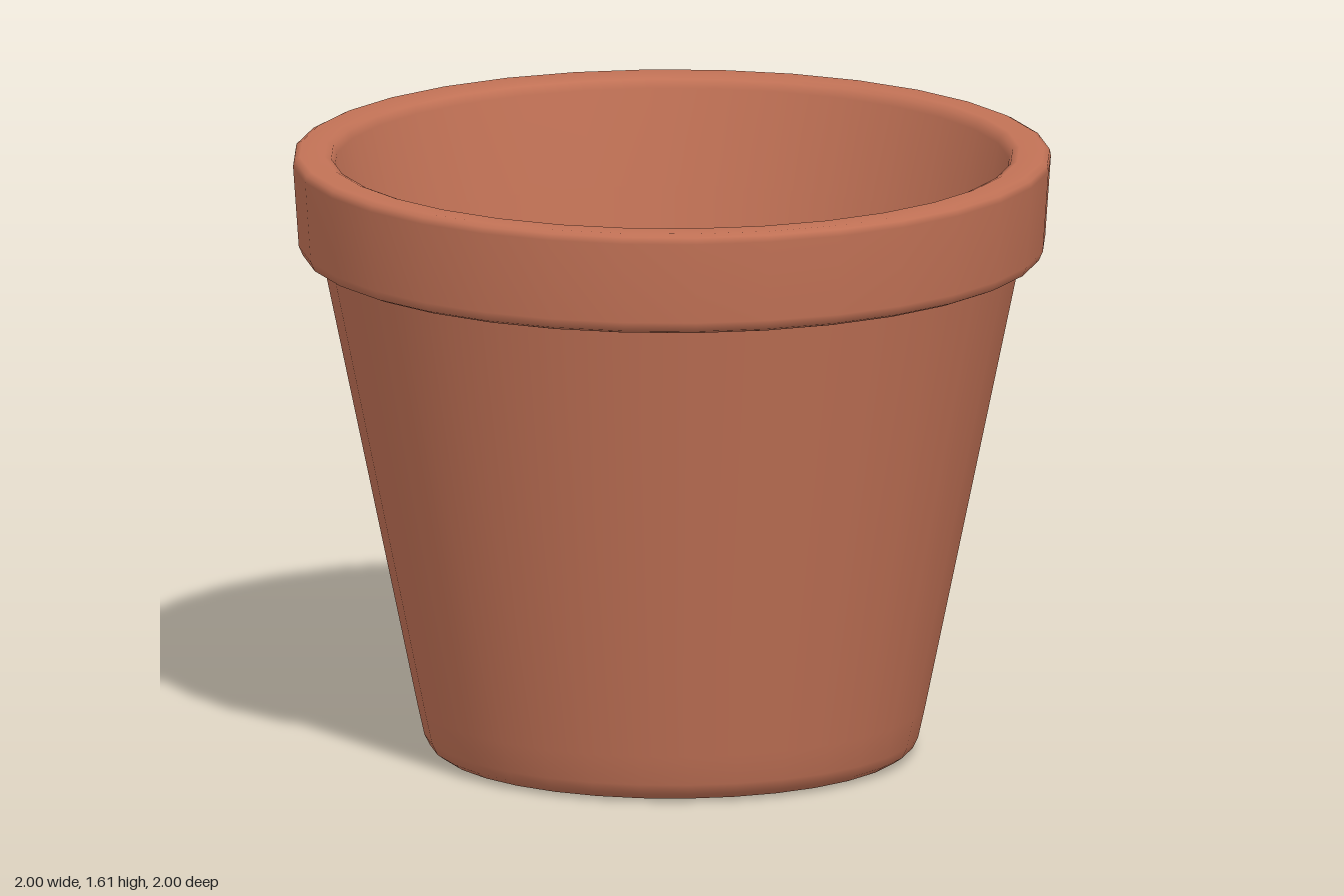
import * as THREE from 'three';

const SEGMENTS = 32;

// Revolve a list of [radius, height] pairs; going up makes the face point outward
function lathe(name, profile, material) {
  const points = profile.map(([r, y]) => new THREE.Vector2(r, y));
  const mesh = new THREE.Mesh(new THREE.LatheGeometry(points, SEGMENTS), material);
  mesh.name = name;
  return mesh;
}

export function createModel() {
  const pot = new THREE.Group();
  pot.name = 'flowerPot';

  const terracotta = new THREE.MeshStandardMaterial({ color: 0xc27256 });
  terracotta.name = 'terracotta';

  // Underside with a tiny centre hole, bevelled foot and tapered wall
  pot.add(lathe('outerWall', [
    [0.006, 0], [0.57, 0], [0.615, 0.006], [0.638, 0.022], [0.652, 0.05],
    [0.67, 0.13], [0.92, 1.335],
  ], terracotta));

  // Thick collar: rounded underside, slight flare and softened lip
  pot.add(lathe('rim', [
    [0.915, 1.335], [0.95, 1.336], [0.972, 1.345], [0.983, 1.37],
    [0.998, 1.585], [0.995, 1.602], [0.98, 1.61],
    [0.915, 1.61], [0.897, 1.603], [0.888, 1.58], [0.836, 1.33],
  ], terracotta));

  // Tapered inside
  pot.add(lathe('innerWall', [[0.836, 1.33], [0.6, 0.18]], terracotta));

  // Inside floor, open at the tiny centre hole
  pot.add(lathe('floor', [[0.6, 0.18], [0.006, 0.18]], terracotta));

  // Wall of the drain hole
  pot.add(lathe('drainHole', [[0.006, 0.18], [0.006, 0]], terracotta));

  return pot;
}
